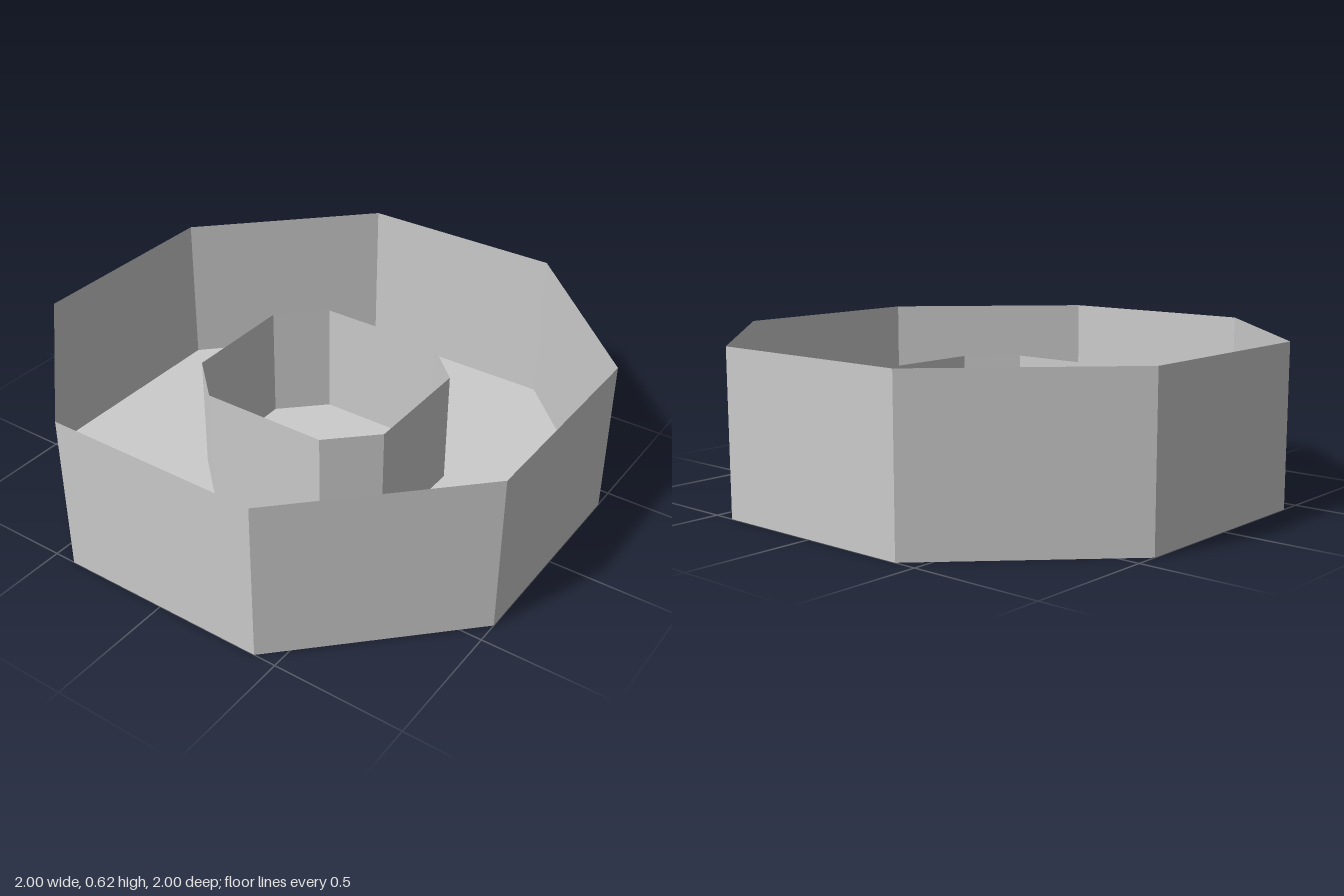
import * as THREE from 'three';

// Corners of a symmetric octagon: half sizes (w, d) with the corners cut at (cw, cd)
function octagon(w, d, cw, cd) {
  return [
    [cw, d], [w, cd], [w, -cd], [cw, -d],
    [-cw, -d], [-w, -cd], [-w, cd], [-cw, d],
  ];
}

// Thin upright wall following a closed ring of [x, z] corners, facing outwards
function wallGeometry(ring, height) {
  const positions = [];
  ring.forEach(([x0, z0], i) => {
    const [x1, z1] = ring[(i + 1) % ring.length];
    positions.push(x0, 0, z0, x1, 0, z1, x1, height, z1);
    positions.push(x0, 0, z0, x1, height, z1, x0, height, z0);
  });
  const geometry = new THREE.BufferGeometry();
  geometry.setAttribute('position', new THREE.Float32BufferAttribute(positions, 3));
  geometry.computeVertexNormals();
  return geometry;
}

export function createModel() {
  const group = new THREE.Group();
  group.name = 'octagonalBasin';

  const grey = new THREE.MeshStandardMaterial({ color: 0xcccccc });
  grey.name = 'lightGrey';
  grey.side = THREE.DoubleSide;
  grey.flatShading = true;

  const add = (name, geometry) => {
    const mesh = new THREE.Mesh(geometry, grey);
    mesh.name = name;
    group.add(mesh);
  };

  const outer = octagon(1, 1, 0.414, 0.414);
  const inner = octagon(0.418, 0.39, 0.25, 0.228);

  // Outer rim and the lower ring in the middle
  add('outerWall', wallGeometry(outer, 0.62));
  add('innerWall', wallGeometry(inner, 0.462));

  // Flat floor closing the bottom
  const outline = new THREE.Shape(outer.map(([x, z]) => new THREE.Vector2(x, -z)));
  add('floor', new THREE.ShapeGeometry(outline).rotateX(-Math.PI / 2));

  return group;
}
